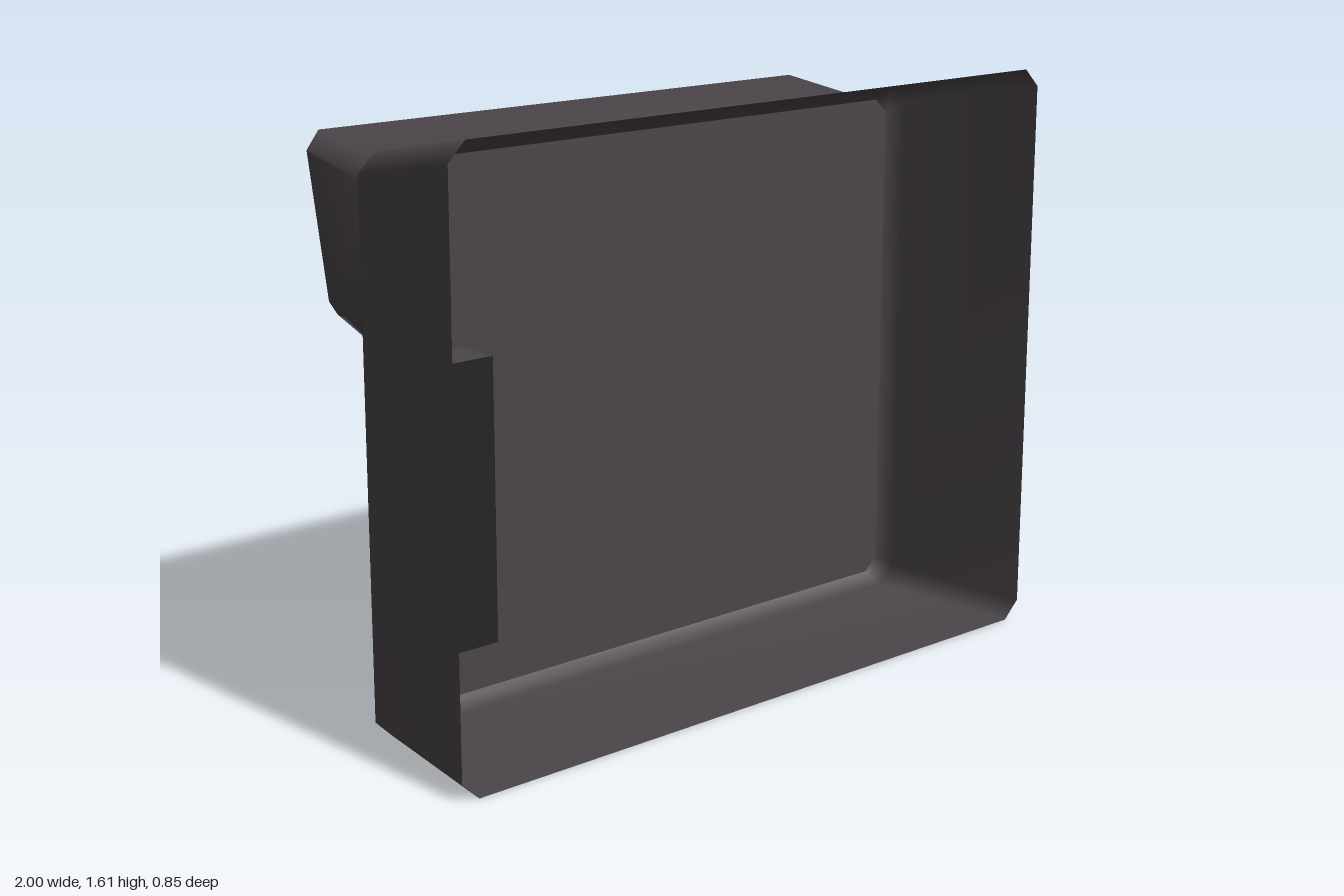
import * as THREE from 'three';
import { toCreasedNormals } from 'three/addons/utils/BufferGeometryUtils.js';

const body = new THREE.MeshStandardMaterial({ color: 0x4b4549, side: THREE.DoubleSide });
body.name = 'charcoal plastic';
const dark = new THREE.MeshStandardMaterial({ color: 0x242424, side: THREE.DoubleSide });
dark.name = 'slot black';
const pale = new THREE.MeshStandardMaterial({ color: 0xe4e4e4 });
pale.name = 'pale grey';

const FACE = -0.065; // z of the instrument face

// Rectangle with cut corners, as a loop at depth z
function rect(cx, cy, hw, hh, c, z) {
  const pts = [[hw, -hh + c], [hw, hh - c], [hw - c, hh], [-hw + c, hh],
    [-hw, hh - c], [-hw, -hh + c], [-hw + c, -hh], [hw - c, -hh]];
  return pts.map(([x, y]) => [cx + x, cy + y, z]);
}

// Skin a row of equal-length closed loops; optionally close the last one
function loft(loops, cap = false) {
  const n = loops[0].length;
  const pos = loops.flat(2);
  const idx = [];
  for (let k = 0; k < loops.length - 1; k++) {
    for (let i = 0; i < n; i++) {
      const a = k * n + i, b = k * n + (i + 1) % n;
      idx.push(a, a + n, b, b, a + n, b + n);
    }
  }
  if (cap) {
    const s = (loops.length - 1) * n;
    for (let i = 1; i < n - 1; i++) idx.push(s, s + i + 1, s + i);
  }
  const g = new THREE.BufferGeometry();
  g.setAttribute('position', new THREE.Float32BufferAttribute(pos, 3));
  g.setIndex(idx);
  g.computeVertexNormals();
  return g;
}

export function createModel() {
  const root = new THREE.Group();
  const add = (name, geo, mat) => {
    const m = new THREE.Mesh(geo, mat);
    m.name = name;
    root.add(m);
    return m;
  };

  // Hollow housing, open toward +z, tapering to a bevelled face
  add('housing', loft([
    rect(0, 0.805, 1, 0.805, 0.05, 0.425),
    rect(0, 0.76, 0.945, 0.76, 0.05, -0.03),
    rect(0, 0.76, 0.905, 0.722, 0.04, FACE),
  ]), body);

  // Instrument face with a cut-out for the slot
  const toV2 = (loop) => loop.map(([x, y]) => new THREE.Vector2(x, y));
  const slotLoop = (z) => rect(-0.685, 0.595, 0.075, 0.385, 0.004, z);
  const faceShape = new THREE.Shape(toV2(rect(0, 0.76, 0.905, 0.722, 0.04, 0)));
  faceShape.holes.push(new THREE.Path(toV2(slotLoop(0))));
  add('facePlate', new THREE.ShapeGeometry(faceShape).translate(0, 0, FACE), body);

  // Slot recess pushed into the housing, with a dark floor
  add('slotWalls', toCreasedNormals(loft([slotLoop(0.05), slotLoop(FACE)]), 0.3), body);
  add('slotFloor', new THREE.PlaneGeometry(0.15, 0.77).translate(-0.685, 0.595, 0.05), dark);

  // Monitor frame with bevelled rim and recessed bezel
  const mx = 0.11, my = 0.855;
  add('monitorFrame', loft([
    rect(mx, my, 0.68, 0.505, 0.05, FACE),
    rect(mx, my, 0.68, 0.505, 0.05, -0.22),
    rect(mx, my, 0.64, 0.465, 0.035, -0.265),
    rect(mx, my, 0.605, 0.435, 0.035, -0.265),
    rect(mx, my, 0.53, 0.38, 0.04, -0.2),
  ]), body);

  // Bulging screen
  const screen = new THREE.PlaneGeometry(1.06, 0.76, 12, 10);
  const p = screen.attributes.position;
  for (let i = 0; i < p.count; i++) {
    const u = p.getX(i) / 0.53, v = p.getY(i) / 0.38;
    p.setZ(i, 0.095 * (1 - u * u) * (1 - v * v));
  }
  screen.computeVertexNormals();
  add('screen', screen.rotateY(Math.PI).translate(mx, my, -0.2), pale);

  // Visor: an upside-down U with pointed legs, sloping outward
  const half = [ // outer x, y, inner x, y
    [0.845, 0.98, 0.835, 0.98],
    [0.89, 1.03, 0.79, 1.03],
    [0.89, 1.43, 0.79, 1.35],
    [0.845, 1.48, 0.76, 1.38],
  ];
  const mirrored = half.map(([a, b, c, d]) => [-a, b, -c, d]).reverse();
  const liftY = (y) => y + 0.07 - 0.05 * (y - 0.98);
  const frontZ = (y) => -0.33 - 0.1 * (y - 1.05) / 0.475;
  const stations = [...half, ...mirrored].map(([ox, oy, ix, iy]) => {
    const fo = [ox * 0.975, liftY(oy)], fi = [ix * 0.985, liftY(iy)];
    const rim = fo.map((v, i) => v + (fi[i] - v) * 0.45);
    return [
      [ix, iy, FACE],
      [...fi, frontZ(fi[1])],
      [...rim, frontZ(rim[1])],
      [...fo, frontZ(fo[1]) + 0.04],
      [ox, oy, FACE],
    ];
  });
  add('visor', toCreasedNormals(loft(stations), 0.87), body);

  // Tapered push buttons: three below the monitor, one tall one above the slot
  const button = (name, x, y, hw, hh) => add(name, loft([
    rect(x, y, hw, hh, 0.006, FACE),
    rect(x, y, hw - 0.028, hh - 0.028, 0.006, -0.2),
  ], true), pale);
  [-0.42, 0.105, 0.63].forEach((x, i) => button('button' + (i + 1), x, 0.21, 0.155, 0.08));
  button('tallButton', -0.69, 1.21, 0.08, 0.15);

  return root;
}
